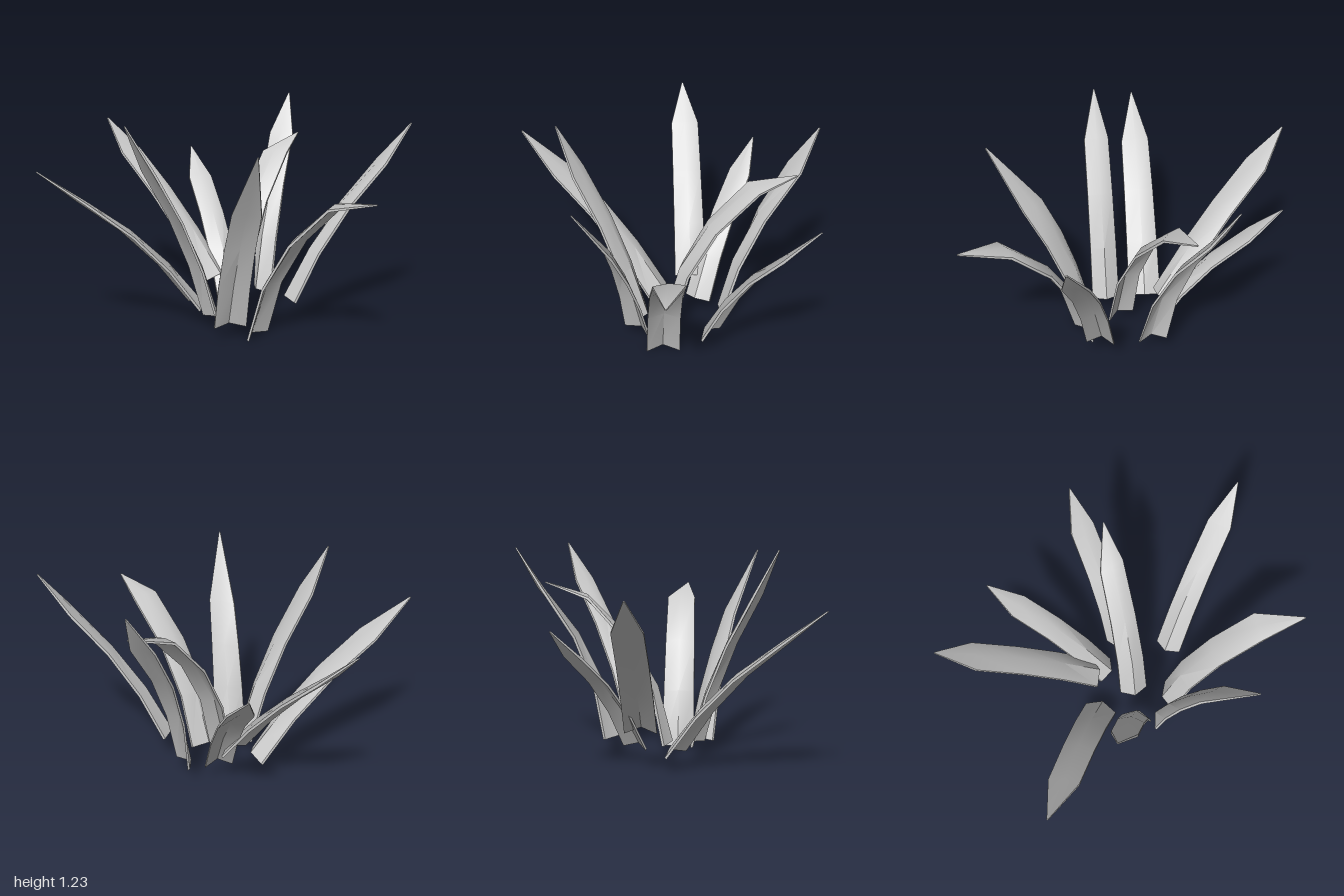
import * as THREE from 'three';
import { toCreasedNormals } from 'three/addons/utils/BufferGeometryUtils.js';

const THICKNESS = 0.014;
const SECTION = [[-1, 0.5], [0, 0.5], [1, 0.5], [1, -0.5], [0, -0.5], [-1, -0.5]];

// A leaf runs base -> shoulder (arched upward by bow) -> pointed tip.
// yaw0 and yaw1 turn its width at base and shoulder, in degrees from x towards z.
function makeLeaf(name, base, shoulder, tip, bow, halfWidth, yaw0, yaw1) {
  const start = new THREE.Vector3(...base), end = new THREE.Vector3(...shoulder);
  const chord = end.clone().sub(start).normalize();
  const up = new THREE.Vector3(0, 1, 0).addScaledVector(chord, -chord.y).normalize();

  // Centre line
  const pts = [];
  for (let i = 0; i < 4; i++) {
    const t = i / 3;
    pts.push(start.clone().lerp(end, t).addScaledVector(up, bow * 4.5 * t * (1 - t)));
  }
  pts.push(new THREE.Vector3(...tip));
  const last = pts.length - 1;

  // Ridged cross-sections
  const positions = [], index = [];
  pts.forEach((p, i) => {
    const t = Math.min(i / 3, 1), atTip = i === last;
    const tangent = pts[Math.min(i + 1, last)].clone().sub(pts[Math.max(i - 1, 0)]).normalize();
    const yaw = THREE.MathUtils.degToRad(THREE.MathUtils.lerp(yaw0, yaw1, t));
    const side = new THREE.Vector3(Math.cos(yaw), 0, Math.sin(yaw));
    const normal = side.clone().cross(tangent).normalize();
    if (normal.y < 0) { normal.negate(); side.negate(); } // ridge on the upper face
    const width = halfWidth * (atTip ? 0.04 : 1 - 0.12 * t);
    const ridge = atTip ? 0 : 0.045 - 0.032 * t;
    for (const [u, v] of SECTION) {
      const lift = v * THICKNESS * (atTip ? 0.5 : 1) + (u === 0 ? ridge : 0);
      const q = p.clone().addScaledVector(side, u * width).addScaledVector(normal, lift);
      positions.push(q.x, q.y, q.z);
    }
  });

  // Skin between sections
  for (let i = 0; i < last; i++) {
    for (let j = 0; j < 6; j++) {
      const a = i * 6 + j, b = i * 6 + (j + 1) % 6;
      index.push(a, b, b + 6, a, b + 6, a + 6);
    }
  }
  // End caps
  const cap = [0, 5, 4, 0, 4, 1, 1, 4, 3, 1, 3, 2];
  index.push(...cap, ...cap.slice().reverse().map(k => k + last * 6));

  const geometry = new THREE.BufferGeometry();
  geometry.setAttribute('position', new THREE.Float32BufferAttribute(positions, 3));
  geometry.setIndex(index);
  const mesh = new THREE.Mesh(toCreasedNormals(geometry, 0.75), new THREE.MeshStandardMaterial({ color: 0xcccccc }));
  mesh.name = name;
  return mesh;
}

export function createModel() {
  const plant = new THREE.Group();
  plant.name = 'leafCluster';
  plant.add(
    // Leaves at the back
    makeLeaf('backLeaf', [0.145, 0.21, -0.17], [0.145, 0.895, -0.81], [0.14, 1.08, -0.99], 0.025, 0.092, 0, 0),
    makeLeaf('backLeftLeaf', [0.185, 0.1, -0.09], [0.46, 0.71, -0.52], [0.55, 0.87, -0.66], 0.04, 0.079, 32, 40),
    makeLeaf('backRightLeaf', [-0.05, 0.09, -0.175], [-0.615, 0.78, -0.49], [-0.83, 0.98, -0.61], 0.04, 0.095, -58, -68),
    // Leaves at the sides
    makeLeaf('leftLeaf', [0.34, 0.125, 0.04], [0.705, 1, -0.08], [0.83, 1.23, -0.11], 0.06, 0.08, 110, 70),
    makeLeaf('archedLeftLeaf', [0.03, 0.09, 0.05], [0.47, 0.94, 0.03], [0.7, 1.02, 0.04], 0.085, 0.082, 90, 72),
    makeLeaf('rightLeaf', [-0.165, 0.09, 0.03], [-0.49, 0.98, -0.13], [-0.6, 1.235, -0.19], 0.035, 0.08, 114, 111),
    // Leaves at the front
    makeLeaf('frontLeftLeaf', [0.225, 0.16, 0.32], [0.575, 0.95, 0.675], [0.69, 1.165, 0.79], 0.04, 0.078, -47, -50),
    makeLeaf('frontLeaf', [-0.04, 0.005, 0.265], [-0.03, 0.83, 0.74], [-0.06, 0.89, 0.99], 0.08, 0.095, 0, 0),
    makeLeaf('frontRightLeaf', [-0.185, 0.085, 0.18], [-0.34, 0.8, 0.395], [-0.5, 1.155, 0.57], 0.025, 0.09, 42, 69),
  );
  return plant;
}
